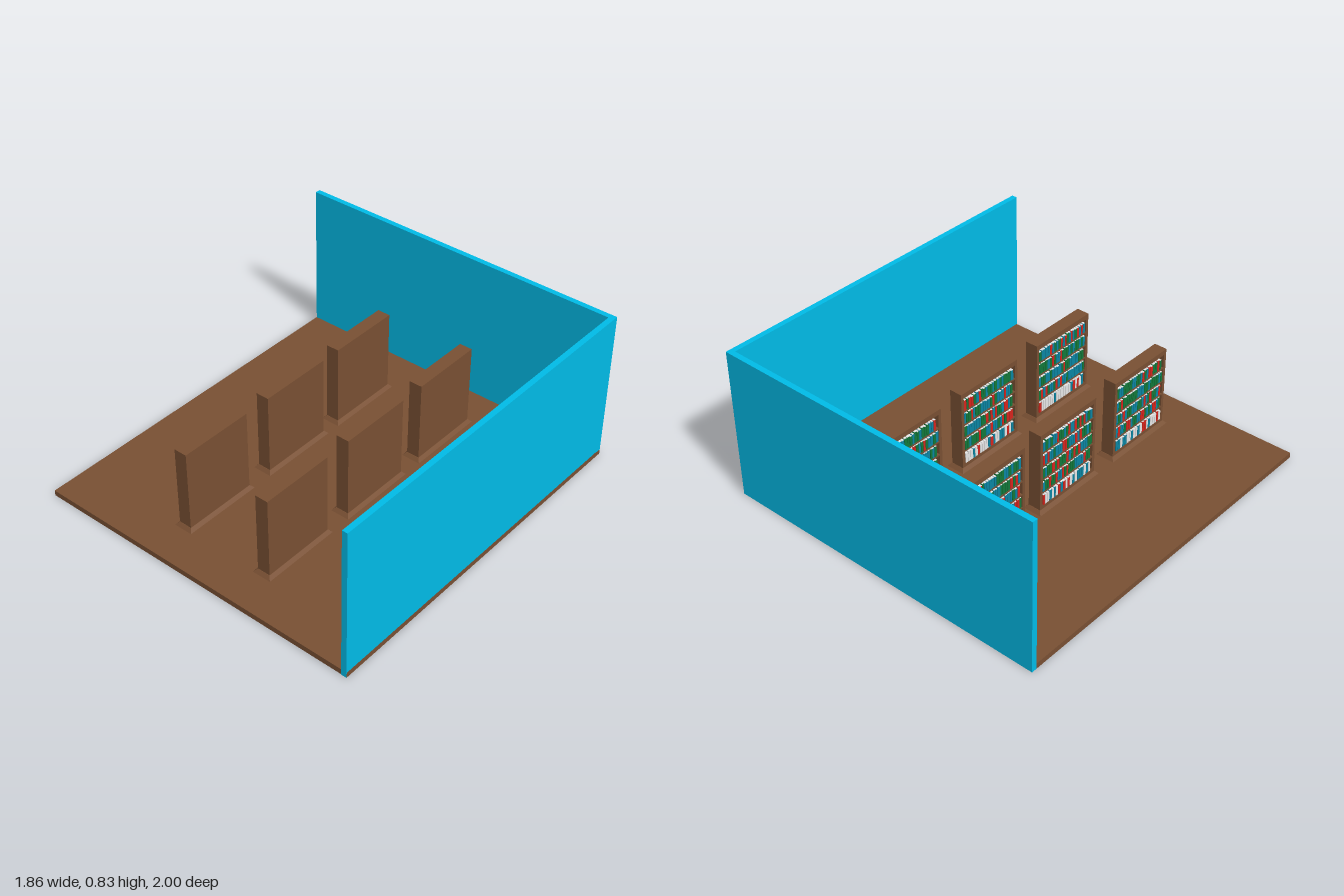
import * as THREE from 'three';

const mat = (name, color) => {
  const m = new THREE.MeshStandardMaterial({ color });
  m.name = name;
  return m;
};

export function createModel() {
  const wood = mat('brown wood', 0x795033);
  const paint = mat('blue wall paint', 0x00bce8);
  const paper = mat('white paper', 0xf4f4f4);
  const red = mat('red cover', 0xd8241c);
  const green = mat('green cover', 0x12793a);
  const teal = mat('teal cover', 0x0a86a4);
  // Cover choices; repeats make a colour more common
  const upperCovers = [teal, green, red, teal, green];
  const lowerCovers = [paper, paper, red, paper, teal];

  const model = new THREE.Group();
  model.name = 'libraryRoom';

  // Box given by its lower and upper limits on each axis
  const box = (parent, name, material, [x0, x1], [y0, y1], [z0, z1]) => {
    const mesh = new THREE.Mesh(new THREE.BoxGeometry(x1 - x0, y1 - y0, z1 - z0), material);
    mesh.position.set((x0 + x1) / 2, (y0 + y1) / 2, (z0 + z1) / 2);
    mesh.name = name;
    parent.add(mesh);
    return mesh;
  };

  // Small seeded generator for book sizes and colours
  let seed = 11;
  const random = () => (seed = (seed * 16807) % 2147483647) / 2147483647;

  // Floor and the two walls
  box(model, 'floor', wood, [-0.93, 0.93], [0, 0.03], [-0.97, 0.998]);
  box(model, 'floorEdge', wood, [0.928, 0.9303], [0, 0.026], [-0.999, -0.97]);
  box(model, 'backWall', paint, [-0.93, 0.93], [0, 0.835], [-1, -0.97]);
  box(model, 'sideWall', paint, [0.9, 0.93], [0.03, 0.835], [-0.97, 1]);
  box(model, 'sideWallFoot', paint, [0.9, 0.93], [0, 0.03], [0.998, 1]);

  // One book: cover with a thin page block on top
  function addBook(parent, cover, front, y, z, width, height) {
    const book = new THREE.Group();
    book.name = 'book';
    box(book, 'cover', cover, [front, 0.022], [y, y + height], [z, z + width]);
    box(book, 'pages', paper, [front + 0.001, 0.022],
      [y + height, y + height + 0.003], [z + 0.001, z + width - 0.001]);
    parent.add(book);
  }

  // Bookcase centred on its own x and z, open towards -x
  function makeBookcase() {
    const bookcase = new THREE.Group();
    bookcase.name = 'bookcase';
    const half = 0.205, side = 0.018, rows = 5, bottom = 0.066, pitch = 0.079;
    const depth = [-0.036, 0.036];

    // Plinth with sloping sides
    const plinth = box(bookcase, 'plinth', wood, [-0.053, 0.053], [0.03, 0.048], [-0.223, 0.223]);
    const p = plinth.geometry.attributes.position;
    for (let i = 0; i < p.count; i++) {
      if (p.getY(i) > 0) {
        p.setX(i, Math.sign(p.getX(i)) * 0.037);
        p.setZ(i, Math.sign(p.getZ(i)) * 0.207);
      }
    }
    plinth.geometry = plinth.geometry.toNonIndexed();
    plinth.geometry.computeVertexNormals();

    // Carcass
    box(bookcase, 'backPanel', wood, [0.022, 0.036], [0.046, 0.49], [-half, half]);
    box(bookcase, 'topPanel', wood, depth, [0.462, 0.49], [-half, half]);
    box(bookcase, 'bottomPanel', wood, depth, [0.046, bottom], [-half + side, half - side]);
    for (const s of [-1, 1]) {
      const inner = s * (half - side), outer = s * half;
      box(bookcase, 'sidePanel', wood, depth, [0.046, 0.462],
        [Math.min(inner, outer), Math.max(inner, outer)]);
    }

    // Shelves filled with books, mostly white ones on the lowest
    for (let row = 0; row < rows; row++) {
      const y = bottom + row * pitch;
      const covers = row === 0 ? lowerCovers : upperCovers;
      box(bookcase, 'shelf', wood, depth, [y - 0.005, y + 0.004], [-half + side, half - side]);
      let z = -half + side + 0.003;
      while (z < half - side - 0.016) {
        const width = 0.011 + random() * 0.006;
        const height = 0.053 + random() * 0.009;
        const cover = covers[Math.floor(random() * covers.length)];
        const front = row === 0 ? -0.0385 : -0.034 - random() * 0.002;
        addBook(bookcase, cover, front, y + 0.004, z, width, height);
        z += width + 0.003;
      }
    }
    return bookcase;
  }

  // Two rows of three bookcases
  const places = [
    [-0.252, -0.51], [-0.252, 0.012], [-0.252, 0.572],
    [0.25, -0.54], [0.25, 0.012], [0.25, 0.572],
  ];
  for (const [x, z] of places) {
    const bookcase = makeBookcase();
    bookcase.position.set(x, 0, z);
    model.add(bookcase);
  }
  return model;
}
